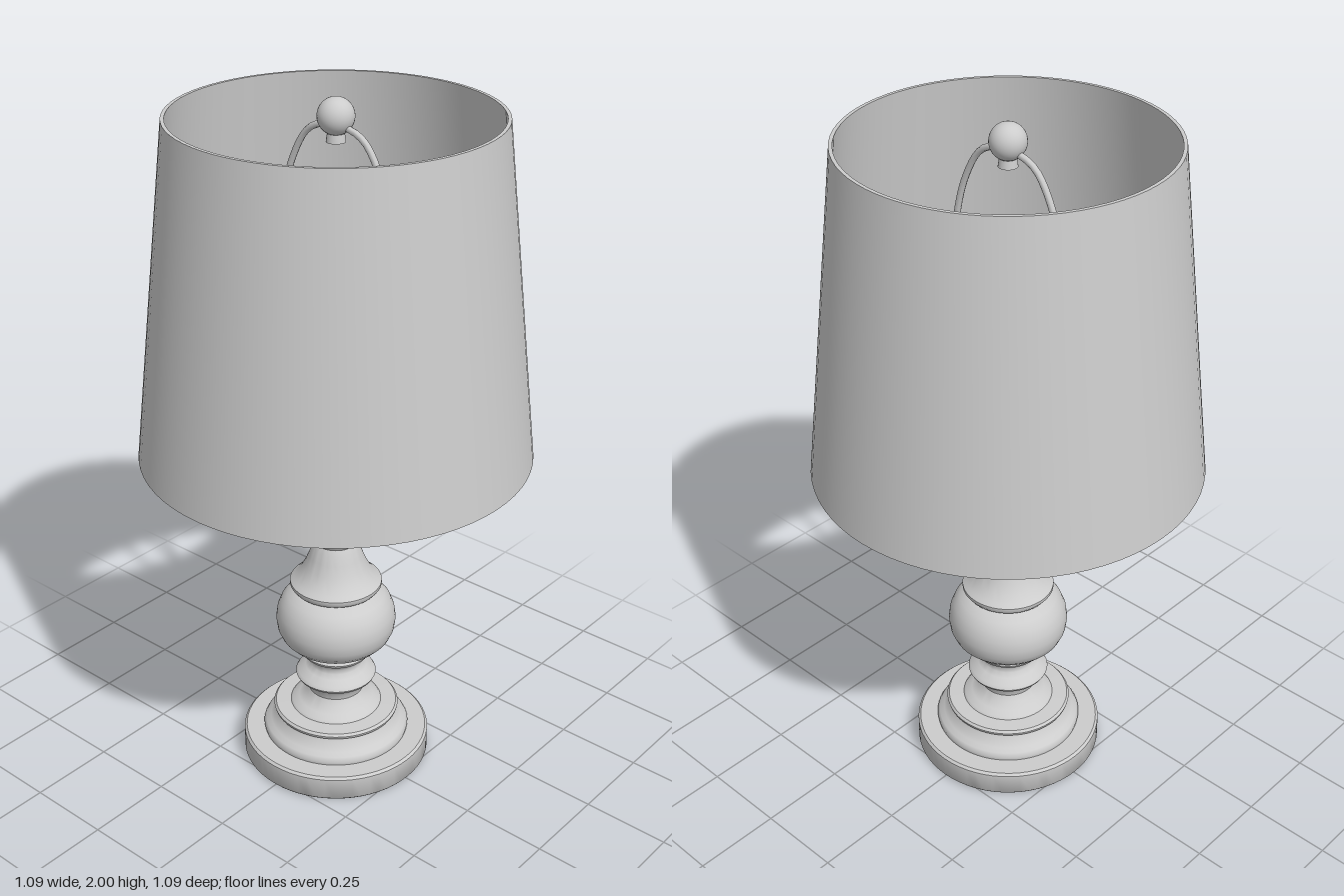
import * as THREE from 'three';
import { toCreasedNormals } from 'three/addons/utils/BufferGeometryUtils.js';

export function createModel() {
  const lamp = new THREE.Group();
  lamp.name = 'tableLamp';
  const grey = new THREE.MeshStandardMaterial({ color: 0xcccccc });
  grey.name = 'plainGrey';

  const add = (name, geometry, x = 0, y = 0, z = 0) => {
    const mesh = new THREE.Mesh(geometry, grey);
    mesh.name = name;
    mesh.position.set(x, y, z);
    lamp.add(mesh);
    return mesh;
  };
  // profile points are [radius, height], listed upwards along the outside
  const turned = (profile, sides = 64) => toCreasedNormals(
    new THREE.LatheGeometry(profile.map(([r, y]) => new THREE.Vector2(r, y)), sides), 0.7);

  // Round foot
  add('foot', turned([[0, 0], [0.272, 0], [0.277, 0.006], [0.277, 0.07], [0.27, 0.077], [0, 0.077]]));

  // Stepped moulding above the foot
  add('footMoulding', turned([
    [0.215, 0.076], [0.217, 0.088], [0.21, 0.1], [0.196, 0.108], [0.188, 0.118],
    [0.178, 0.132], [0.174, 0.143], [0.184, 0.148], [0.186, 0.156], [0.18, 0.163],
    [0.135, 0.165], [0.13, 0.172], [0.11, 0.18], [0.09, 0.195], [0.08, 0.215]]));

  // Lower turned rings
  add('lowerStem', turned([
    [0.08, 0.21], [0.083, 0.23], [0.095, 0.248], [0.115, 0.26], [0.119, 0.268],
    [0.113, 0.278], [0.09, 0.29], [0.078, 0.302], [0.076, 0.315], [0.082, 0.327],
    [0.098, 0.338], [0.101, 0.346], [0.095, 0.355], [0.085, 0.362], [0.088, 0.375]]));

  // Rounded belly
  add('belly', turned([
    [0.08, 0.365], [0.11, 0.37], [0.14, 0.384], [0.16, 0.405], [0.171, 0.43],
    [0.175, 0.46], [0.171, 0.49], [0.16, 0.518], [0.142, 0.541], [0.118, 0.556], [0.1, 0.562]]));

  // Upper stem with collars
  add('upperStem', turned([
    [0.1, 0.558], [0.125, 0.566], [0.133, 0.577], [0.133, 0.587], [0.122, 0.597],
    [0.105, 0.615], [0.09, 0.642], [0.078, 0.672], [0.069, 0.7], [0.061, 0.716],
    [0.068, 0.725], [0.07, 0.735], [0.062, 0.743], [0.055, 0.757], [0.056, 0.775],
    [0.067, 0.795], [0.087, 0.813], [0.096, 0.83], [0.096, 0.846], [0.086, 0.858],
    [0.085, 0.868], [0.1, 0.885], [0.117, 0.898], [0.121, 0.907], [0.117, 0.917], [0, 0.917]]));

  // Pole and lamp socket
  add('pole', new THREE.CylinderGeometry(0.041, 0.041, 0.5, 32), 0, 1.16, 0);

  // Wire harp carrying the finial
  const side = [[0.04, 1.11], [0.088, 1.115], [0.095, 1.16], [0.1, 1.28], [0.16, 1.42],
    [0.19, 1.56], [0.185, 1.68], [0.15, 1.81], [0.095, 1.9], [0.04, 1.925]];
  const loop = [
    ...side.map(([x, y]) => new THREE.Vector3(-x, y, 0)),
    ...side.slice().reverse().map(([x, y]) => new THREE.Vector3(x, y, 0))];
  add('harp', new THREE.TubeGeometry(new THREE.CatmullRomCurve3(loop), 90, 0.009, 8));
  add('finialNeck', new THREE.CylinderGeometry(0.02, 0.026, 0.04, 20), 0, 1.905, 0);
  add('finial', new THREE.SphereGeometry(0.049, 32, 20), 0, 1.951, 0);

  // Tapered drum shade with real thickness
  add('shade', turned([
    [0.535, 1.015], [0.545, 1.015], [0.44, 1.955], [0.43, 1.955], [0.535, 1.015]], 72));

  // Ring inside the shade and its three arms
  const ring = add('shadeRing', new THREE.TorusGeometry(0.522, 0.009, 8, 72), 0, 1.09, 0);
  ring.rotation.x = Math.PI / 2;
  for (let i = 0; i < 3; i++) {
    const a = i * Math.PI * 2 / 3;
    const arm = add('shadeArm', new THREE.CylinderGeometry(0.009, 0.009, 0.5, 8),
      Math.sin(a) * 0.275, 1.095, Math.cos(a) * 0.275);
    arm.rotation.set(Math.PI / 2, 0, -a);
  }
  return lamp;
}
